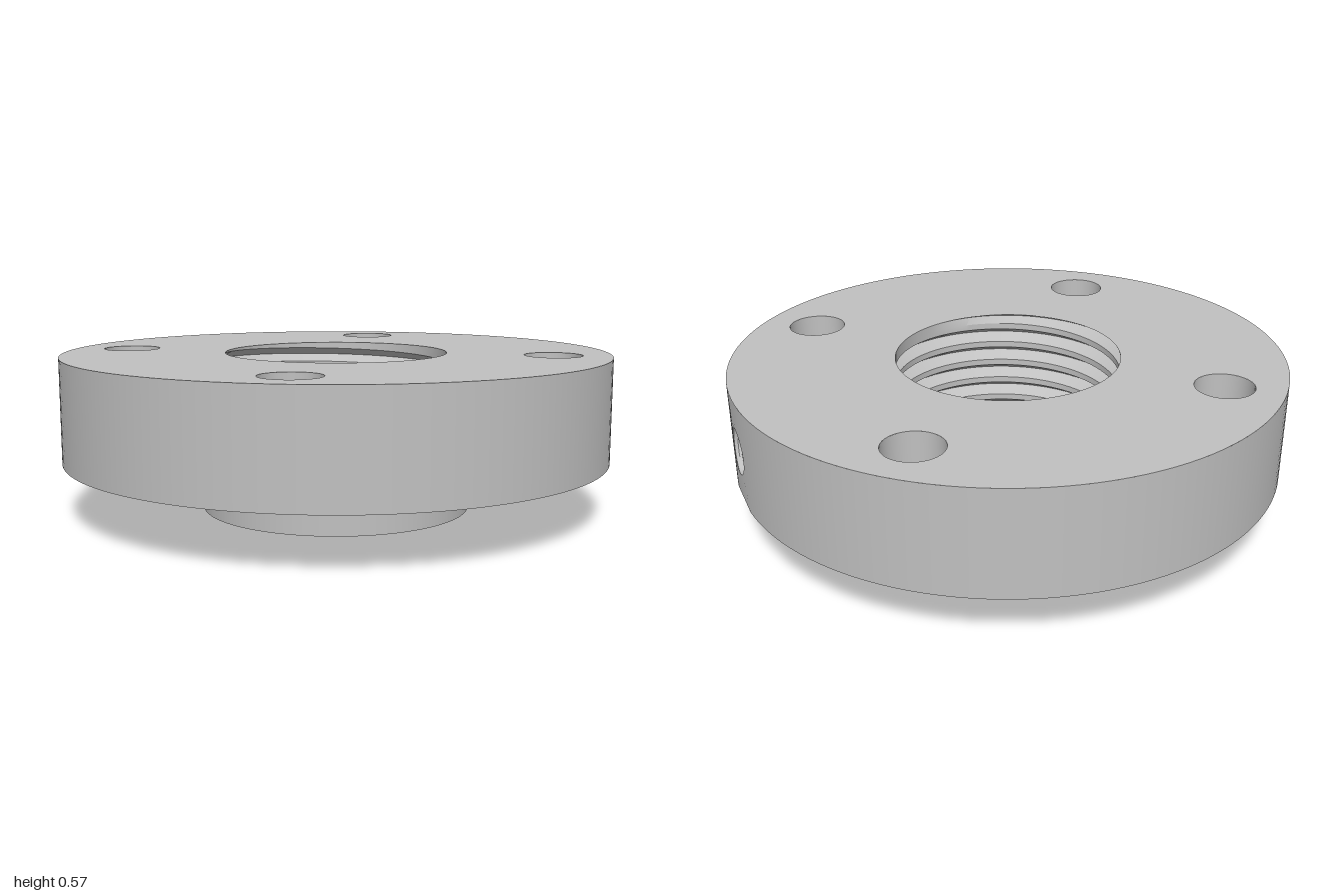
import * as THREE from 'three';
import { toCreasedNormals } from 'three/addons/utils/BufferGeometryUtils.js';

const HEIGHT = 0.575, PLATE_Y = 0.197, HUB_R = 0.495, BORE_R = 0.408;
const BOLT_R = 0.104, BOLT_POS = 0.56;
const SCREW_R = 0.083, SCREW_Y = 0.385, SCREW_FLOOR = 0.5;
const SEGS = 128;

// Flat disc of radius 1 with a centre hole and four bolt holes
function plateFace(centreR) {
  const shape = new THREE.Shape().absarc(0, 0, 1, 0, Math.PI * 2);
  const addHole = (x, y, r) => shape.holes.push(new THREE.Path().absarc(x, y, r, 0, Math.PI * 2, true));
  addHole(0, 0, centreR);
  for (const x of [-1, 1]) for (const y of [-1, 1]) addHole(x * BOLT_POS, y * BOLT_POS, BOLT_R);
  return new THREE.ShapeGeometry(shape, SEGS / 2);
}

// Round wall: faces outward when y1 > y0, inward when y1 < y0
function wall(r, y0, y1, segs = SEGS, start = 0, length = Math.PI * 2) {
  return new THREE.LatheGeometry([new THREE.Vector2(r, y0), new THREE.Vector2(r, y1)], segs, start, length);
}

// Inward-facing helical thread along y, from 0 to length, with V grooves cut into the wall
function threadedHole(radius, depth, pitch, length, segs) {
  const profile = [[0, 0], [0.3, 0], [0.65, 1]];
  const rows = (Math.ceil(length / pitch) + 2) * 3;
  const pos = [], index = [];
  for (let i = 0; i <= segs; i++) {
    const a = (i / segs) * Math.PI * 2;
    for (let j = 0; j < rows; j++) {
      const [f, d] = profile[j % 3];
      const raw = (Math.floor(j / 3) - 1 + f + i / segs) * pitch;
      const y = THREE.MathUtils.clamp(raw, 0, length);
      const fade = Math.min(1, Math.min(y, length - y) / (pitch * 0.3));
      const r = radius + depth * d * fade;
      pos.push(r * Math.cos(a), y, -r * Math.sin(a));
    }
  }
  for (let i = 0; i < segs; i++) {
    for (let j = 0; j < rows - 1; j++) {
      const a = i * rows + j, b = a + rows;
      index.push(a, a + 1, b, b, a + 1, b + 1);
    }
  }
  const geo = new THREE.BufferGeometry();
  geo.setAttribute('position', new THREE.Float32BufferAttribute(pos, 3));
  geo.setIndex(index);
  return geo;
}

// Curved piece of the rim around the set screw hole
function rimPatch(halfAngle) {
  const w = Math.sin(halfAngle);
  const shape = new THREE.Shape();
  shape.moveTo(-w, PLATE_Y).lineTo(w, PLATE_Y).lineTo(w, HEIGHT).lineTo(-w, HEIGHT);
  shape.holes.push(new THREE.Path().absarc(0, SCREW_Y, SCREW_R, 0, Math.PI * 2, true));
  const geo = new THREE.ShapeGeometry(shape, 24);
  const p = geo.attributes.position, n = geo.attributes.normal;
  for (let i = 0; i < p.count; i++) {
    const s = p.getX(i), x = Math.sqrt(1 - s * s);
    p.setXYZ(i, x, p.getY(i), -s);
    n.setXYZ(i, x, 0, -s);
  }
  return geo;
}

export function createModel() {
  const group = new THREE.Group();
  group.name = 'threadedFlange';
  const metal = new THREE.MeshStandardMaterial({ color: 0xc0c0c0 });
  metal.name = 'plain grey metal';
  const add = (name, geo) => {
    const mesh = new THREE.Mesh(geo, metal);
    mesh.name = name;
    group.add(mesh);
    return mesh;
  };

  // Plate
  add('plateTop', plateFace(BORE_R).rotateX(-Math.PI / 2).translate(0, HEIGHT, 0));
  add('plateUnderside', plateFace(HUB_R).rotateX(Math.PI / 2).translate(0, PLATE_Y, 0));
  const gap = 0.1;
  add('plateRim', wall(1, PLATE_Y, HEIGHT, SEGS, Math.PI / 2 + gap, Math.PI * 2 - gap * 2));
  add('plateRimAroundScrewHole', rimPatch(gap));

  // Bolt holes
  for (const x of [-1, 1]) for (const z of [-1, 1]) {
    add('boltHole', wall(BOLT_R, HEIGHT, PLATE_Y, 48)).position.set(x * BOLT_POS, 0, z * BOLT_POS);
  }

  // Hub below the plate
  add('hubWall', wall(HUB_R, 0, PLATE_Y));
  add('hubEnd', new THREE.RingGeometry(BORE_R, HUB_R, SEGS).rotateX(Math.PI / 2));

  // Threaded bore
  add('boreThread', toCreasedNormals(threadedHole(BORE_R, 0.046, 0.077, HEIGHT, SEGS), 0.4));

  // Blind threaded set screw hole, its mouth trimmed to the curved rim
  const screw = threadedHole(SCREW_R, 0.014, 0.03, 1 - SCREW_FLOOR, 48);
  screw.rotateZ(-Math.PI / 2).translate(SCREW_FLOOR, SCREW_Y, 0);
  const p = screw.attributes.position;
  for (let i = 0; i < p.count; i++) {
    p.setX(i, Math.min(p.getX(i), Math.sqrt(1 - p.getZ(i) ** 2)));
  }
  add('screwHoleThread', toCreasedNormals(screw, 0.4));
  add('screwHoleFloor', new THREE.CircleGeometry(SCREW_R, 48).rotateY(Math.PI / 2).translate(SCREW_FLOOR, SCREW_Y, 0));

  return group;
}
